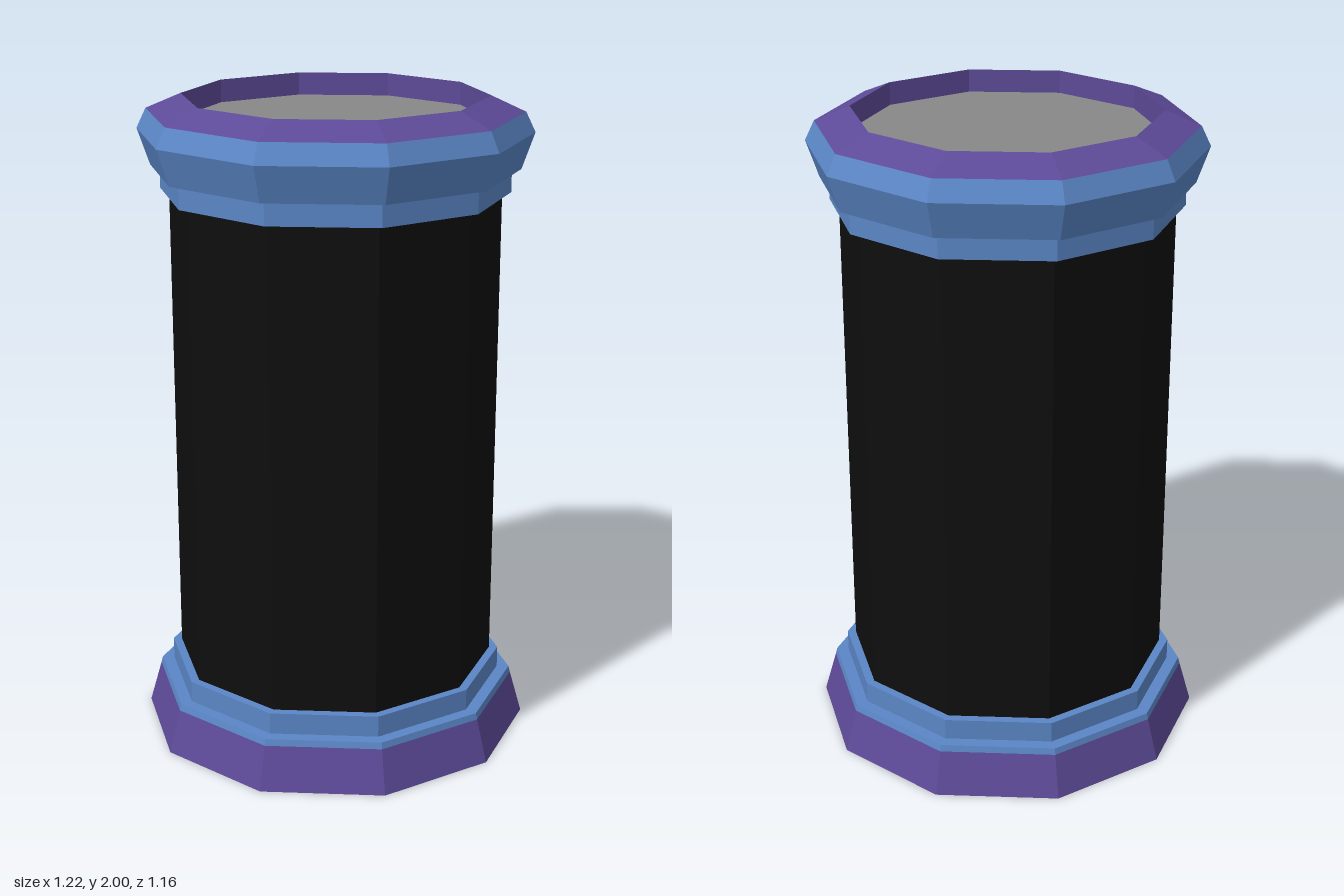
import * as THREE from 'three';

const SIDES = 10;

function material(name, color) {
  const m = new THREE.MeshStandardMaterial({ color, flatShading: true, side: THREE.DoubleSide });
  m.name = name;
  return m;
}

export function createModel() {
  const group = new THREE.Group();
  const blue = material('blue', 0x5a86c6);
  const purple = material('purple', 0x5d4a98);
  const black = material('black', 0x0e0e0e);
  const grey = material('grey', 0x888888);
  const brown = material('brown', 0x3a2c20);

  const add = (name, geometry, mat) => {
    const mesh = new THREE.Mesh(geometry, mat);
    mesh.name = name;
    group.add(mesh);
    return mesh;
  };

  // Ten-sided shell from [radius, height] pairs, with corners on the x axis
  const shell = (name, profile, mat) => {
    const points = profile.map(([r, y]) => new THREE.Vector2(r, y));
    return add(name, new THREE.LatheGeometry(points, SIDES, Math.PI / 2).toNonIndexed(), mat);
  };

  // Flat ten-sided plate
  const plate = (name, radius, y, mat) => {
    const geometry = new THREE.CircleGeometry(radius, SIDES).rotateX(-Math.PI / 2);
    add(name, geometry, mat).position.y = y;
  };

  // Base: flared skirt and stepped collar, open underneath
  shell('baseSkirt', [[0.608, 0], [0.57, 0.135]], purple);
  shell('baseCollar', [[0.57, 0.135], [0.565, 0.155], [0.527, 0.155], [0.527, 0.222], [0.5, 0.222]], blue);

  // Main cylinder
  shell('body', [[0.5, 0.222], [0.5, 1.715]], black);

  // Cap: collar, bulging band, bevelled rim and sunken lid
  shell('capCollar', [[0.5, 1.715], [0.527, 1.715], [0.527, 1.785], [0.555, 1.785], [0.593, 1.895], [0.564, 1.955]], blue);
  shell('capRim', [[0.564, 1.955], [0.458, 2], [0.458, 1.93]], purple);
  plate('lid', 0.458, 1.93, grey);

  // Floor inside the base, with a dark border
  shell('floorBorder', [[0.5, 0.235], [0.455, 0.24]], black);
  plate('floor', 0.455, 0.24, brown);

  // Small crystals poking through the floor
  const crystals = [[0.24, -0.17], [-0.21, -0.01], [-0.05, 0.31], [0.17, 0.31], [-0.04, -0.18]];
  crystals.forEach(([x, z], i) => {
    const crystal = add('crystal', new THREE.IcosahedronGeometry(0.045, 0), purple);
    crystal.position.set(x, 0.25, z);
    crystal.rotation.set(i, i * 2, 0);
    crystal.scale.y = 0.7;
  });

  return group;
}
